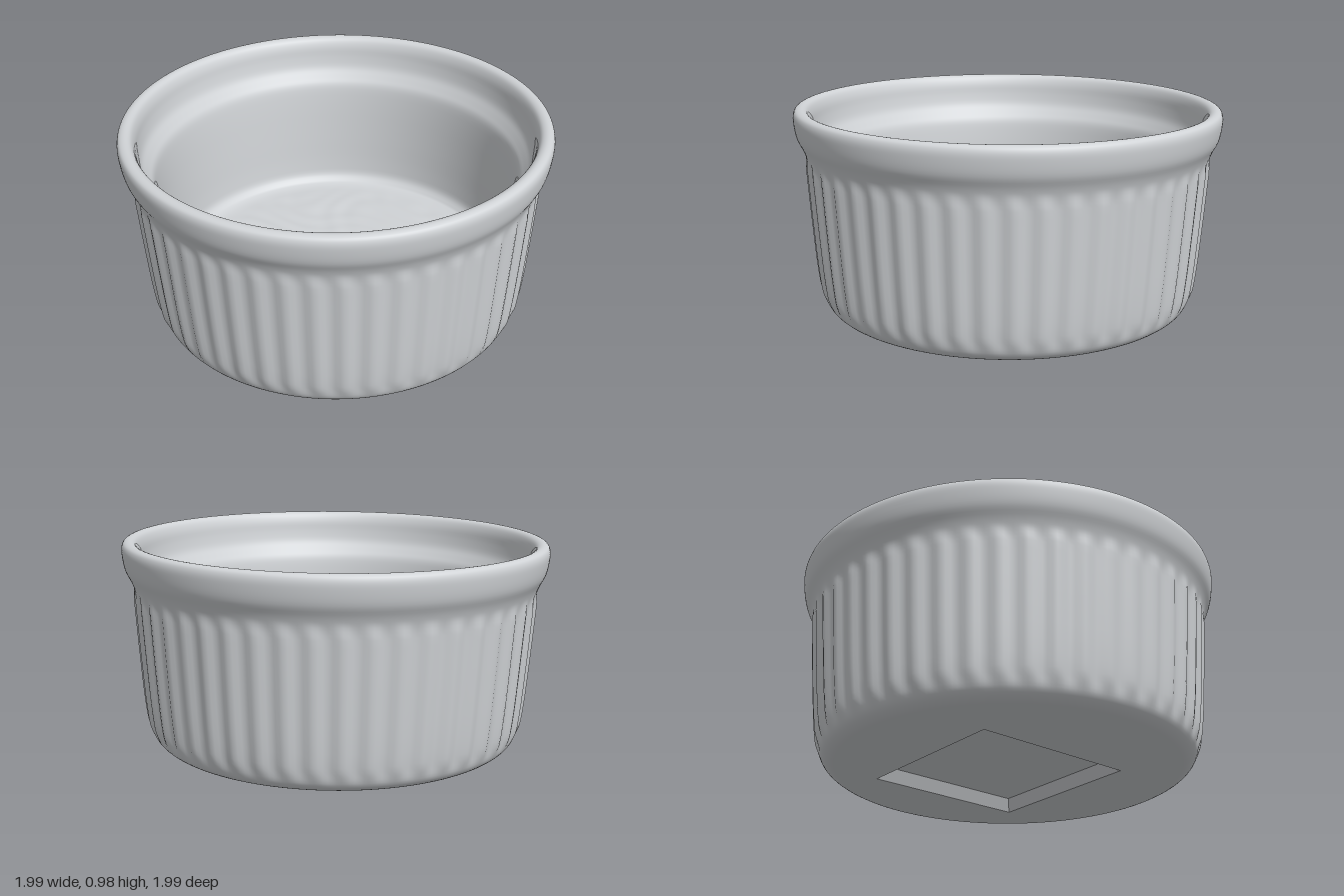
import * as THREE from 'three';
import { mergeVertices } from 'three/addons/utils/BufferGeometryUtils.js';

const FLUTES = 48;
const SEGMENTS = FLUTES * 6;
const BASE_R = 0.78;
const BASE_Y = 0.01;

// Radius and height, from the foot up the outside, over the rim and down inside
const PROFILE = [
  [BASE_R, BASE_Y], [0.82, 0.016], [0.86, 0.045], [0.882, 0.1], [0.898, 0.2],
  [0.92, 0.45], [0.937, 0.68], [0.943, 0.75], [0.957, 0.79], [0.982, 0.84],
  [0.994, 0.9], [0.995, 0.94], [0.985, 0.962], [0.96, 0.97], [0.935, 0.96],
  [0.918, 0.925], [0.91, 0.87], [0.897, 0.815], [0.872, 0.775], [0.85, 0.74],
  [0.838, 0.68], [0.818, 0.45], [0.805, 0.28], [0.795, 0.22], [0.765, 0.185],
];

function makeBowl() {
  const curve = new THREE.CatmullRomCurve3(PROFILE.map(([r, y]) => new THREE.Vector3(r, y, 0)));
  const points = curve.getPoints(90).map((p) => new THREE.Vector2(p.x, p.y));
  // Rings of the inner floor
  for (let i = 23; i >= 0; i--) points.push(new THREE.Vector2(0.76 * i / 24, 0.18));

  let geo = new THREE.LatheGeometry(points, SEGMENTS);
  const pos = geo.attributes.position;
  const step = THREE.MathUtils.smoothstep;
  for (let i = 0; i < pos.count; i++) {
    const x = pos.getX(i), y = pos.getY(i), z = pos.getZ(i);
    const r = Math.hypot(x, z);
    if (r > 0.85 + 0.05 * y) {
      // Shallow vertical flutes that fade out at the foot and under the rim
      const fade = step(y, 0.05, 0.13) * (1 - step(y, 0.69, 0.77));
      const k = 1 + 0.008 * fade * Math.cos(FLUTES * Math.atan2(x, z)) / r;
      pos.setXYZ(i, x * k, y, z * k);
    } else if (r < 0.75 && y < 0.2) {
      // Slightly uneven glaze on the floor
      const bump = Math.sin(23 * x + 4 * Math.sin(9 * z)) * Math.sin(27 * z + 3 * Math.sin(11 * x));
      pos.setY(i, y + 0.003 * bump * (1 - step(r, 0.6, 0.75)));
    }
  }
  // Weld the seam so the shading runs smoothly round
  geo.deleteAttribute('uv');
  geo.deleteAttribute('normal');
  geo = mergeVertices(geo, 1e-5);
  geo.computeVertexNormals();
  return geo;
}

// Square recess pressed into the underside
const RECESS = { x: 0.05, z: -0.04, turn: THREE.MathUtils.degToRad(18), outer: 0.57, inner: 0.53, depth: 0.06 };

function recessCorners(radius) {
  return [0, 1, 2, 3].map((k) => {
    const a = -RECESS.turn + k * Math.PI / 2;
    return new THREE.Vector2(RECESS.x + radius * Math.sin(a), RECESS.z + radius * Math.cos(a));
  });
}

export function createModel() {
  const model = new THREE.Group();
  model.name = 'ramekin';
  const ceramic = new THREE.MeshStandardMaterial({ color: 0xd0d3d6 });
  ceramic.name = 'pale grey ceramic';

  const dish = new THREE.Group();
  dish.name = 'dish';
  const add = (geo, name) => {
    const mesh = new THREE.Mesh(geo, ceramic);
    mesh.name = name;
    dish.add(mesh);
    return mesh;
  };

  add(makeBowl(), 'flutedBowl');

  // Flat underside with a square opening
  const disc = new THREE.Shape().absarc(0, 0, BASE_R, 0, Math.PI * 2);
  disc.holes.push(new THREE.Path(recessCorners(RECESS.outer)));
  add(new THREE.ShapeGeometry(disc, SEGMENTS / 2).rotateX(Math.PI / 2), 'underside').position.y = BASE_Y;

  // Sloping recess walls, mirrored so that they face inward
  const walls = new THREE.CylinderGeometry(
    RECESS.inner, RECESS.outer, RECESS.depth, 4, 1, true, RECESS.turn).toNonIndexed();
  const p = walls.attributes.position;
  for (let i = 0; i < p.count; i += 3) {
    const a = [p.getX(i), p.getY(i), p.getZ(i)];
    p.setXYZ(i, p.getX(i + 1), p.getY(i + 1), p.getZ(i + 1));
    p.setXYZ(i + 1, ...a);
  }
  walls.rotateY(-2 * RECESS.turn);
  walls.computeVertexNormals();
  add(walls, 'recessWalls').position.set(RECESS.x, BASE_Y + RECESS.depth / 2, RECESS.z);

  // Recess panel
  const panel = new THREE.ShapeGeometry(new THREE.Shape(recessCorners(RECESS.inner)));
  add(panel.rotateX(Math.PI / 2), 'recessPanel').position.y = BASE_Y + RECESS.depth;

  // The dish stands very slightly out of level
  dish.rotation.set(-0.004, 0, 0.01);
  model.add(dish);
  return model;
}
